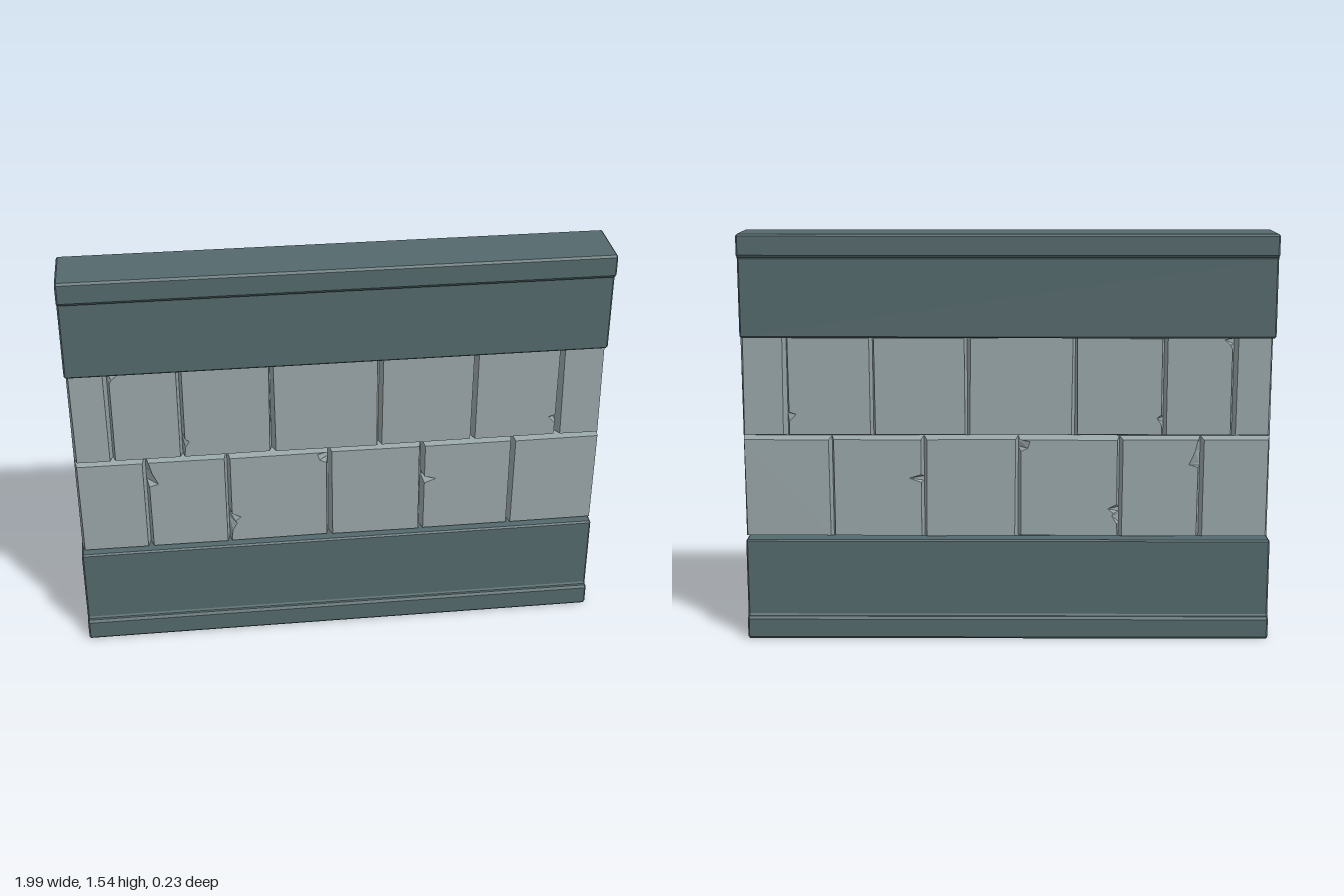
import * as THREE from 'three';

const beamMat = new THREE.MeshStandardMaterial({ color: 0x54696c });
beamMat.name = 'darkBeam';
const stoneMat = new THREE.MeshStandardMaterial({ color: 0x99a6a9, flatShading: true });
stoneMat.name = 'paleStone';

const LEFT = -0.995, RIGHT = 0.99, BEVEL = 0.006;
const Z_FRONT = 0.068, Z_BACK = -0.058, Z_RIM = 0.018, GAP = 0.01;

// Beam: stepped profile with a wide foot, run along x
function makeBeam(name) {
  const half = [
    [0.108, 0], [0.115, 0.008], [0.115, 0.077], [0.108, 0.087],
    [0.098, 0.087], [0.094, 0.094], [0.094, 0.379], [0.088, 0.385],
  ];
  const outline = [...half, ...half.map(([u, y]) => [-u, y]).reverse()];
  const shape = new THREE.Shape(outline.map(([u, y]) => new THREE.Vector2(u, y)));
  const geo = new THREE.ExtrudeGeometry(shape, {
    depth: RIGHT - LEFT - 2 * BEVEL, bevelEnabled: true, bevelSegments: 1,
    bevelSize: BEVEL, bevelOffset: -BEVEL, bevelThickness: BEVEL,
  });
  geo.translate(0, 0, LEFT + BEVEL);
  geo.rotateY(Math.PI / 2);
  const beam = new THREE.Mesh(geo, beamMat);
  beam.name = name;
  return beam;
}

// Brick: rim outline in the middle, smaller faces front and back.
// Each chip is [x, y] pairs: start, deepest point, end, along the face outline.
function makeBrick(x0, x1, y0, y1, chips, wobble) {
  const rim = [], face = [];
  const w = wobble * 0.004;
  const corners = [
    [[x0, y0], [x0 + GAP + w, y0 + GAP]],
    [[x1, y0], [x1 - GAP, y0 + GAP - w * 0.5]],
    [[x1, y1], [x1 - GAP - w, y1 - GAP]],
    [[x0, y1], [x0 + GAP, y1 - GAP + w * 0.5]],
  ];
  corners.forEach(([r, f], i) => {
    rim.push(r);
    face.push(f);
    for (const chip of chips.filter((c) => c.side === i)) {
      // sides: 1 = right edge going up, 3 = left edge going down
      const right = i === 1;
      const xr = right ? x1 : x0, dir = right ? -1 : 1;
      for (const [depth, y] of chip.points) {
        rim.push([xr, y]);
        face.push([xr + dir * (GAP + depth), y]);
      }
    }
  });

  const pos = [];
  const tri = (a, b, c) => pos.push(...a, ...b, ...c);
  const rings = [
    face.map(([x, y]) => [x, y, Z_BACK]),
    rim.map(([x, y]) => [x, y, -Z_RIM]),
    rim.map(([x, y]) => [x, y, Z_RIM]),
    face.map(([x, y]) => [x, y, Z_FRONT]),
  ];
  const n = face.length;
  for (let k = 0; k < 3; k++) {
    for (let i = 0; i < n; i++) {
      const j = (i + 1) % n, lo = rings[k], hi = rings[k + 1];
      tri(lo[i], lo[j], hi[j]);
      tri(lo[i], hi[j], hi[i]);
    }
  }
  const caps = THREE.ShapeUtils.triangulateShape(face.map(([x, y]) => new THREE.Vector2(x, y)), []);
  for (const [a, b, c] of caps) {
    tri(rings[3][a], rings[3][b], rings[3][c]);
    tri(rings[0][a], rings[0][c], rings[0][b]);
  }
  const geo = new THREE.BufferGeometry();
  geo.setAttribute('position', new THREE.Float32BufferAttribute(pos, 3));
  geo.computeVertexNormals();
  return new THREE.Mesh(geo, stoneMat);
}

// Courses: joint positions, and chips keyed by brick number
const courses = [
  {
    name: 'lowerCourse', y0: 0.383, y1: 0.775,
    joints: [-0.993, -0.73, -0.425, -0.042, 0.315, 0.663, 0.998],
    chips: {
      1: [{ side: 3, points: [[0.004, 0.755], [0.012, 0.72], [0.034, 0.67], [0, 0.66]] }],
      2: [
        { side: 3, points: [[0, 0.515], [0.034, 0.498], [0.012, 0.48], [0.018, 0.47], [0, 0.44]] },
        { side: 1, points: [[0, 0.72], [0.026, 0.733], [0.034, 0.758]] },
      ],
      4: [{ side: 3, points: [[0, 0.63], [0.045, 0.617], [0, 0.6]] }],
    },
  },
  {
    name: 'upperCourse', y0: 0.775, y1: 1.16,
    joints: [-0.993, -0.848, -0.588, -0.255, 0.15, 0.505, 0.828, 0.998],
    chips: {
      1: [{ side: 3, points: [[0.03, 1.145], [0.008, 1.125], [0, 1.11]] }],
      2: [{ side: 3, points: [[0, 0.86], [0.016, 0.848], [0, 0.825]] }],
      5: [{ side: 1, points: [[0, 0.835], [0.026, 0.862], [0, 0.87]] }],
    },
  },
];

export function createModel() {
  const model = new THREE.Group();
  model.name = 'wallPanel';

  // Matching beams, the top one turned over
  const bottomBeam = makeBeam('bottomBeam');
  const topBeam = makeBeam('topBeam');
  topBeam.rotation.x = Math.PI;
  topBeam.position.y = 1.54;
  model.add(bottomBeam, topBeam);

  // Two courses of bricks
  for (const { name, y0, y1, joints, chips } of courses) {
    const course = new THREE.Group();
    course.name = name;
    for (let i = 0; i < joints.length - 1; i++) {
      const brick = makeBrick(joints[i], joints[i + 1], y0, y1, chips[i] || [], Math.sin(i * 2.3 + y0));
      brick.name = 'brick' + (i + 1);
      course.add(brick);
    }
    model.add(course);
  }
  return model;
}
